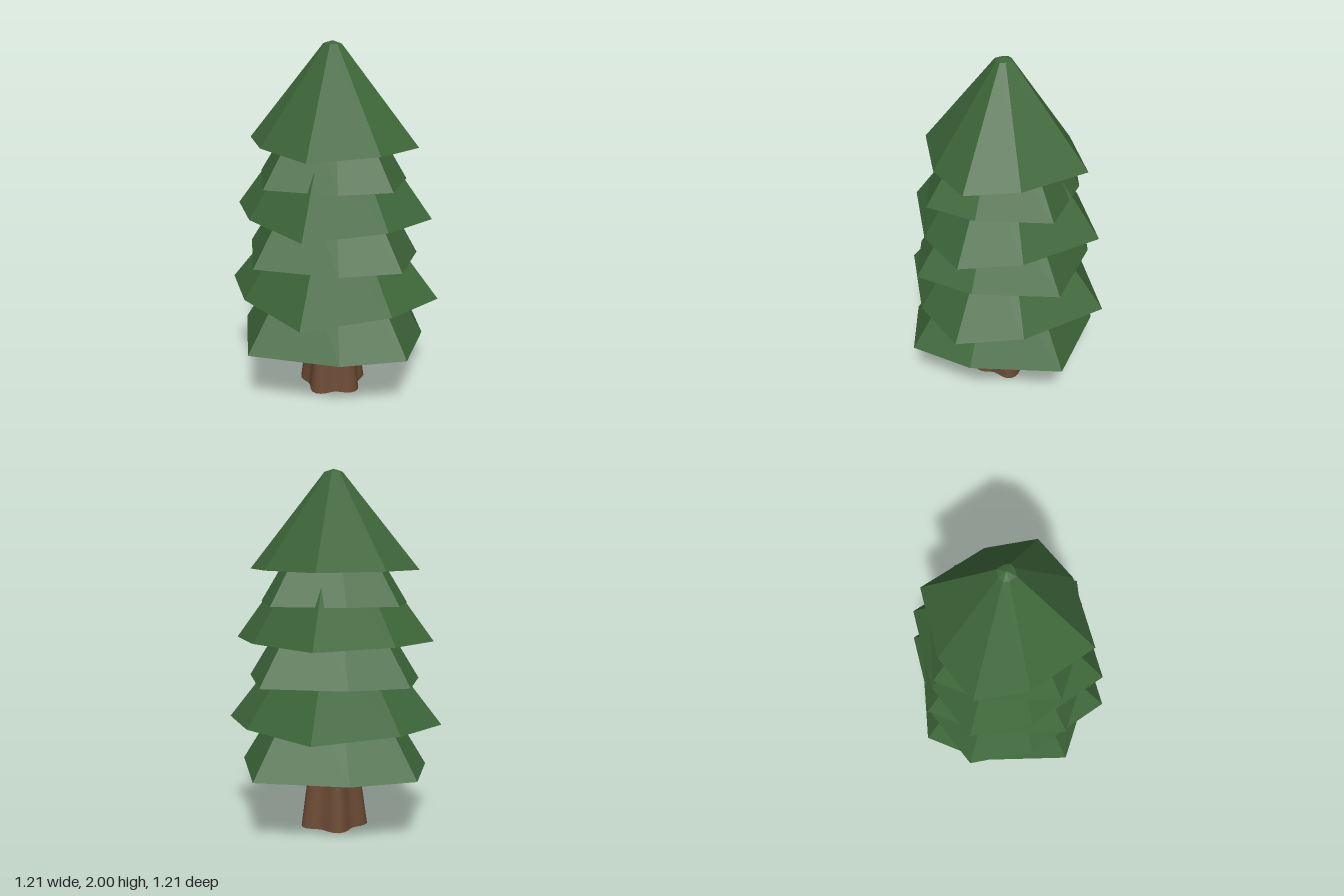
import * as THREE from 'three';

// Branch outline as [angle in degrees, relative radius]: four points with blunt bulges between
const OUTLINE = [[0, 1], [37, 0.86], [90, 1], [143, 0.86], [180, 1], [217, 0.86], [270, 1], [323, 0.86]];

const green = new THREE.MeshStandardMaterial({ color: 0x3d6639, flatShading: true });
const brown = new THREE.MeshStandardMaterial({ color: 0x6b4a34 });

// Stacks scaled copies of the outline; rings are [scale, y] from the inner underside to the top
function outlineSolid(rings) {
  const positions = [];
  const point = ([scale, y], i) => {
    const [deg, r] = OUTLINE[i % OUTLINE.length];
    const a = THREE.MathUtils.degToRad(deg);
    return [Math.cos(a) * r * scale, y, Math.sin(a) * r * scale];
  };
  for (let k = 0; k < rings.length - 1; k++) {
    for (let i = 0; i < OUTLINE.length; i++) {
      const a = point(rings[k], i), a2 = point(rings[k], i + 1);
      const b = point(rings[k + 1], i), b2 = point(rings[k + 1], i + 1);
      if (rings[k + 1][0] > 0) positions.push(...a, ...b, ...b2);
      if (rings[k][0] > 0) positions.push(...a, ...b2, ...a2);
    }
  }
  const geometry = new THREE.BufferGeometry();
  geometry.setAttribute('position', new THREE.Float32BufferAttribute(positions, 3));
  geometry.computeVertexNormals();
  return geometry;
}

// Tapered trunk with five soft root lobes
function trunkGeometry() {
  const height = 0.6;
  const geometry = new THREE.CylinderGeometry(0.57, 1, height, 40, 1);
  geometry.translate(0, height / 2, 0);
  const p = geometry.attributes.position;
  for (let i = 0; i < p.count; i++) {
    const a = Math.atan2(p.getZ(i), p.getX(i));
    const r = 0.174 + 0.023 * Math.cos(5 * a);
    p.setX(i, p.getX(i) * r + 0.003);
    p.setZ(i, p.getZ(i) * r);
  }
  geometry.computeVertexNormals();
  return geometry;
}

export function createModel() {
  const tree = new THREE.Group();
  tree.name = 'pineTree';

  const trunk = new THREE.Mesh(trunkGeometry(), brown);
  trunk.name = 'trunk';
  tree.add(trunk);

  // Tiers from bottom to top: rim height, rim radius, rise per unit of radius
  const tiers = [
    [0.365, 0.607, 1.41],
    [0.6, 0.61, 1.27],
    [0.855, 0.555, 1.41],
    [1.065, 0.56, 1.36],
    [1.275, 0.475, 1.43],
    [1.455, 0.477, 1.24],
  ];
  tiers.forEach(([y, radius, rise], i) => {
    const isTop = i === tiers.length - 1;
    const topRadius = isTop ? 0.05 : radius * 0.4;
    const topY = y + (radius - topRadius) * rise;
    const rings = [
      [0, y + radius * 0.4], // hollow underside
      [radius, y],
      [topRadius, topY],
      [0, isTop ? 2 : topY],
    ];
    const tier = new THREE.Mesh(outlineSolid(rings), green);
    tier.name = 'branchTier' + (i + 1);
    // Every other tier is turned
    tier.rotation.y = i % 2 ? THREE.MathUtils.degToRad(33) : 0;
    tree.add(tier);
  });
  return tree;
}
